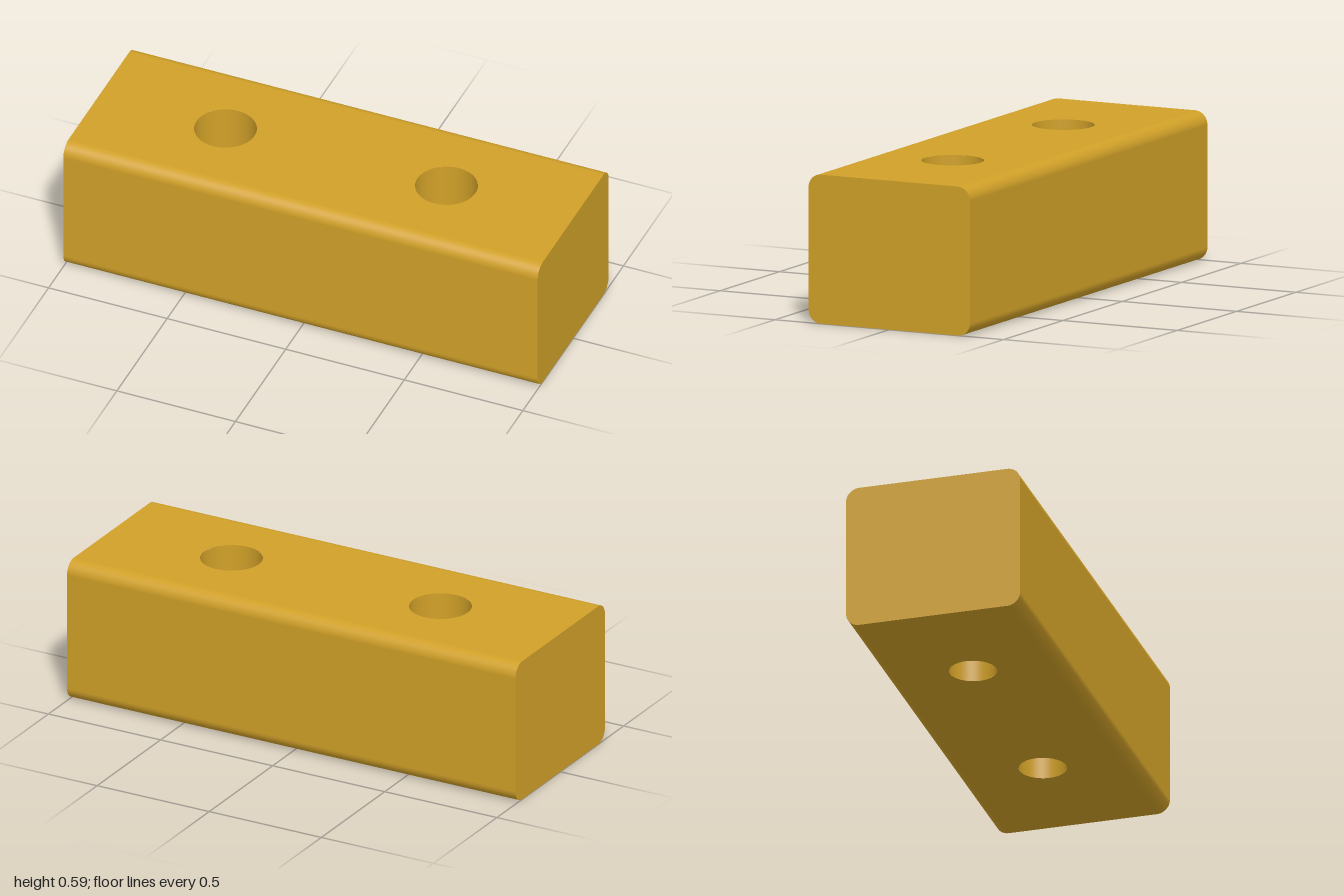
import * as THREE from 'three';

const LENGTH = 2, HEIGHT = 0.587, HALF_DEPTH = 0.353, ROUND = 0.053;
const HOLE_X = 0.466, BORE_R = 0.094, COUNTERBORE_R = 0.122, LEDGE_Y = 0.29;
const ARC_STEPS = 12, HOLE_SEGMENTS = 64;

// One long side of the block with its upper and lower rounded edges
function sideGeometry() {
  const positions = [], normals = [], index = [];
  const add = (angle, cy) => {
    const ny = Math.sin(angle), nz = Math.cos(angle);
    for (const x of [-LENGTH / 2, LENGTH / 2]) {
      positions.push(x, cy + ROUND * ny, HALF_DEPTH - ROUND + ROUND * nz);
      normals.push(0, ny, nz);
    }
  };
  for (let i = 0; i <= ARC_STEPS; i++) add(Math.PI / 2 * (1 - i / ARC_STEPS), HEIGHT - ROUND);
  for (let i = 0; i <= ARC_STEPS; i++) add(-Math.PI / 2 * i / ARC_STEPS, ROUND);
  for (let a = 0; a < positions.length / 3 - 2; a += 2) {
    index.push(a, a + 2, a + 1, a + 1, a + 2, a + 3);
  }
  const g = new THREE.BufferGeometry();
  g.setAttribute('position', new THREE.Float32BufferAttribute(positions, 3));
  g.setAttribute('normal', new THREE.Float32BufferAttribute(normals, 3));
  g.setIndex(index);
  return g;
}

// Flat rectangle between the rounded edges, pierced by the two holes
function piercedFace(radius) {
  const w = LENGTH / 2, d = HALF_DEPTH - ROUND;
  const shape = new THREE.Shape();
  shape.moveTo(-w, -d).lineTo(w, -d).lineTo(w, d).lineTo(-w, d).closePath();
  for (const x of [-HOLE_X, HOLE_X]) {
    shape.holes.push(new THREE.Path().absarc(x, 0, radius, 0, Math.PI * 2, true));
  }
  return new THREE.ShapeGeometry(shape, HOLE_SEGMENTS);
}

// Rounded rectangle closing an end of the block
function endGeometry() {
  const d = HALF_DEPTH - ROUND, top = HEIGHT - ROUND;
  const shape = new THREE.Shape();
  shape.absarc(d, ROUND, ROUND, -Math.PI / 2, 0);
  shape.absarc(d, top, ROUND, 0, Math.PI / 2);
  shape.absarc(-d, top, ROUND, Math.PI / 2, Math.PI);
  shape.absarc(-d, ROUND, ROUND, Math.PI, Math.PI * 1.5);
  return new THREE.ShapeGeometry(shape, ARC_STEPS);
}

export function createModel() {
  const model = new THREE.Group();
  model.name = 'drilledBlock';
  const material = new THREE.MeshStandardMaterial({ color: 0xd0a028 });
  const add = (name, geometry, parent = model) => {
    const mesh = new THREE.Mesh(geometry, material);
    mesh.name = name;
    parent.add(mesh);
    return mesh;
  };

  // Outer skin
  add('frontSide', sideGeometry());
  add('backSide', sideGeometry().rotateY(Math.PI));
  add('leftEnd', endGeometry().rotateY(Math.PI / 2).translate(LENGTH / 2, 0, 0));
  add('rightEnd', endGeometry().rotateY(-Math.PI / 2).translate(-LENGTH / 2, 0, 0));
  add('topFace', piercedFace(COUNTERBORE_R).rotateX(-Math.PI / 2).translate(0, HEIGHT, 0));
  add('bottomFace', piercedFace(BORE_R).rotateX(Math.PI / 2));

  // Stepped holes: wide upper bore, flat ledge, narrow lower bore
  const profile = [[COUNTERBORE_R, HEIGHT], [COUNTERBORE_R, LEDGE_Y], [BORE_R, LEDGE_Y], [BORE_R, 0]]
    .map(([r, y]) => new THREE.Vector2(r, y));
  const names = ['counterbore', 'ledge', 'bore'];
  for (const side of [1, -1]) {
    const hole = new THREE.Group();
    hole.name = side > 0 ? 'leftHole' : 'rightHole';
    hole.position.x = side * HOLE_X;
    names.forEach((name, i) => {
      add(name, new THREE.LatheGeometry(profile.slice(i, i + 2), HOLE_SEGMENTS), hole);
    });
    model.add(hole);
  }
  return model;
}
